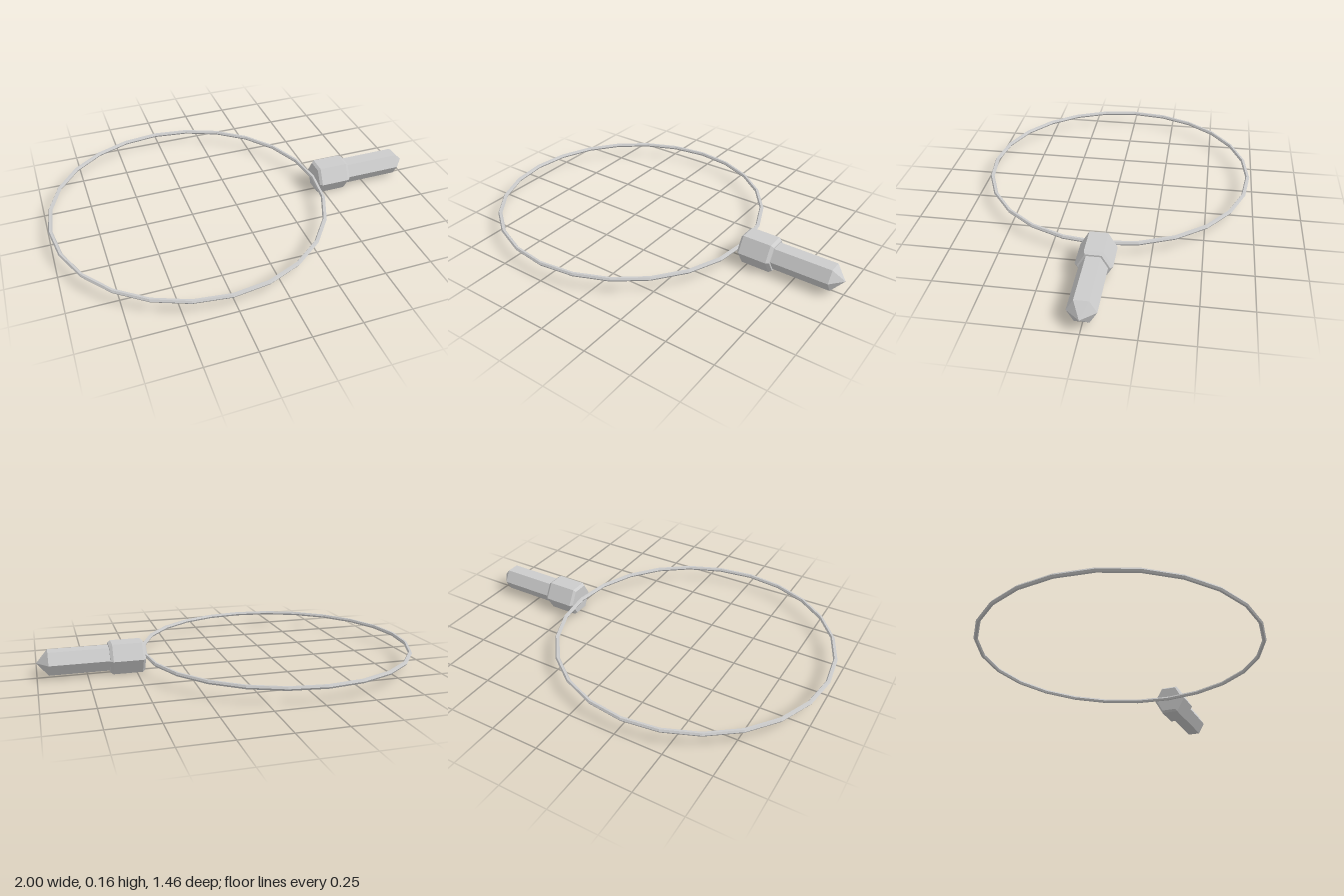
import * as THREE from 'three';

const SIDES = 6;
const AXIS_Y = 0.08;

// Hexagonal solid lying along +x, from [x, radius] pairs
function hexPart(name, profile, material) {
  const points = profile.map(([x, r]) => new THREE.Vector2(r, x));
  const geometry = new THREE.LatheGeometry(points, SIDES);
  geometry.rotateZ(-Math.PI / 2);
  const mesh = new THREE.Mesh(geometry, material);
  mesh.name = name;
  mesh.position.y = AXIS_Y;
  return mesh;
}

export function createModel() {
  const group = new THREE.Group();
  group.name = 'crystalNecklace';
  const material = new THREE.MeshStandardMaterial({ color: 0xcccccc, flatShading: true });

  // Thin cord loop lying flat
  const cord = new THREE.Mesh(new THREE.TorusGeometry(0.719, 0.011, 6, 24), material);
  cord.name = 'cord';
  cord.rotation.x = Math.PI / 2;
  cord.position.set(-0.27, AXIS_Y, 0);
  group.add(cord);

  // Chamfered holder at the loop
  group.add(hexPart('holder', [
    [0.457, 0], [0.457, 0.079], [0.47, 0.091], [0.622, 0.091], [0.637, 0.079], [0.637, 0],
  ], material));

  // Pointed crystal
  group.add(hexPart('crystal', [
    [0.62, 0], [0.62, 0.069], [0.941, 0.069], [1, 0],
  ], material));

  return group;
}
